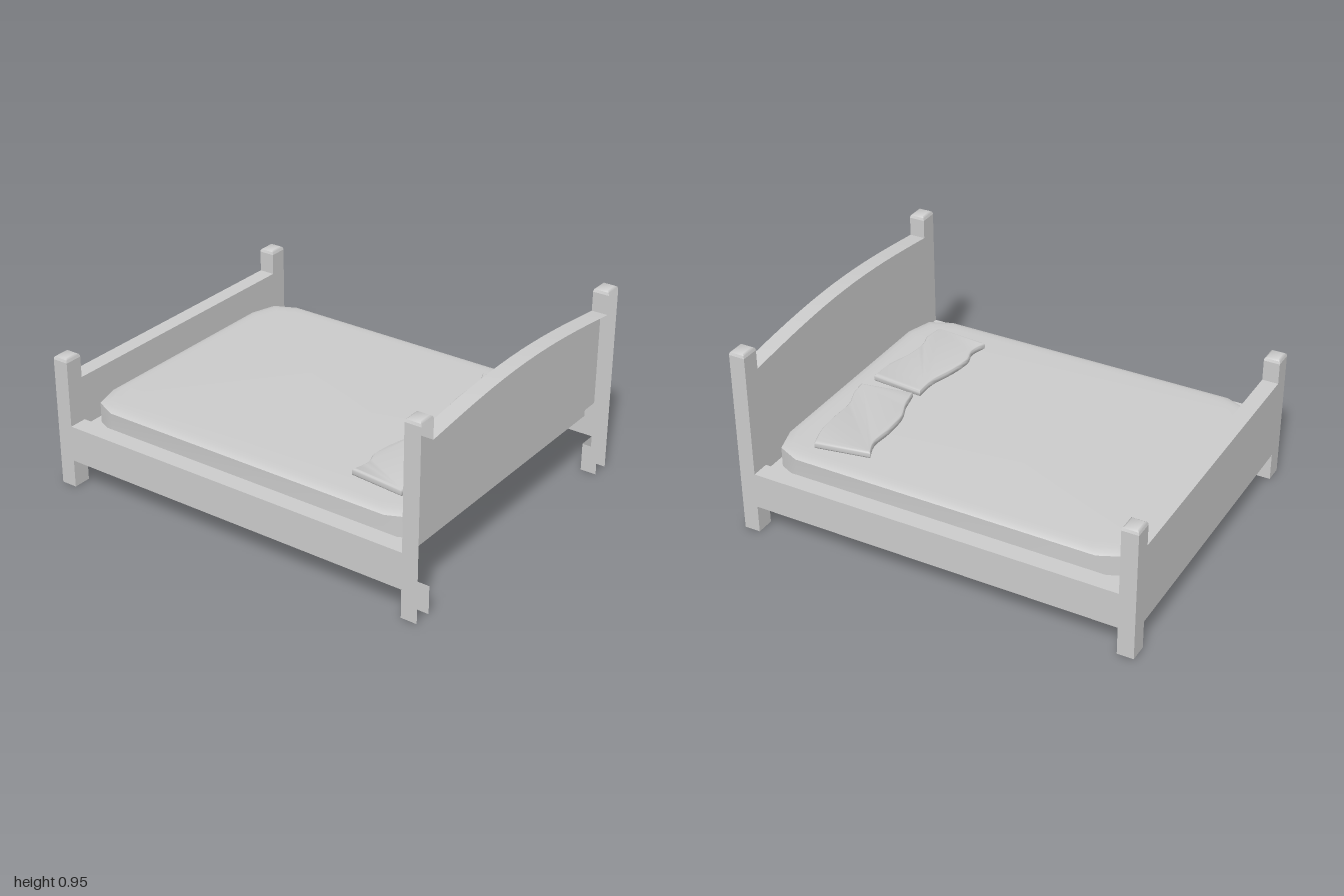
import * as THREE from 'three';
import { toCreasedNormals } from 'three/addons/utils/BufferGeometryUtils.js';

const shell = new THREE.MeshStandardMaterial({ color: 0xcccccc, side: THREE.DoubleSide });
const solid = new THREE.MeshStandardMaterial({ color: 0xcccccc });

const X0 = 0.92, X1 = 1, Z0 = 0.72, Z1 = 0.81;   // inner and outer faces of the posts
const LEG = 0.14, BASE = 0.29, RAIL = 0.32;      // leg height, bed base, rail top
const FOOT = { x: -1, rim: 0.645, height: () => 0.54 };
const HEAD = { x: 1, rim: 0.93, height: z => 0.835 + 0.055 * Math.cos(Math.PI * z / (2 * Z0)) };

const rect = (a0, b0, a1, b1) => [[a0, b0], [a1, b0], [a1, b1], [a0, b1]];
const toShape = pts => new THREE.Shape(pts.map(p => new THREE.Vector2(p[0], p[1])));

// Flat sheet: outline in (x,y), (z,y) or (x,z), set at a distance along the named axis
function sheet(parent, name, axis, at, pts) {
  const geo = new THREE.ShapeGeometry(toShape(pts));
  if (axis === 'x') geo.rotateY(-Math.PI / 2);
  if (axis === 'y') geo.rotateX(Math.PI / 2);
  const mesh = new THREE.Mesh(geo, shell);
  mesh.position[axis] = at;
  mesh.name = name;
  parent.add(mesh);
}

// Points along the top edge of an end board, from -z to +z
function boardEdge(end) {
  const pts = [];
  for (let i = 0; i <= 16; i++) {
    const z = -Z0 + 2 * Z0 * i / 16;
    pts.push([z, end.height(z)]);
  }
  return pts;
}

// Softly rounded post cap
function cap(end, side) {
  const w = X1 - X0, d = Z1 - Z0, h = 0.02;
  const geo = new THREE.BoxGeometry(w, h, d, 1, 3, 1);
  const p = geo.attributes.position;
  for (let i = 0; i < p.count; i++) {
    const t = p.getY(i) / h + 0.5;
    const inset = 0.013 * (1 - Math.sqrt(Math.max(0, 1 - t * t)));
    p.setX(i, p.getX(i) - Math.sign(p.getX(i)) * inset);
    p.setZ(i, p.getZ(i) - Math.sign(p.getZ(i)) * inset);
  }
  const mesh = new THREE.Mesh(toCreasedNormals(geo, 0.9), solid);
  mesh.position.set(end.x * (X0 + X1) / 2, end.rim + h / 2, side * (Z0 + Z1) / 2);
  mesh.name = 'postCap';
  return mesh;
}

// Head or foot end: board, posts and legs as a hollow shell
function bedEnd(end, name) {
  const g = new THREE.Group();
  g.name = name;
  const inner = end.x * X0, edge = boardEdge(end);
  sheet(g, 'boardInnerFace', 'x', inner, [[-Z0, BASE], [Z0, BASE], ...edge.slice().reverse()]);
  // Top of the board follows its edge
  const top = new THREE.PlaneGeometry(X1 - X0, 2 * Z0, 1, 16).rotateX(-Math.PI / 2);
  const p = top.attributes.position;
  for (let i = 0; i < p.count; i++) p.setY(i, end.height(p.getZ(i)));
  top.computeVertexNormals();
  const strip = new THREE.Mesh(top, shell);
  strip.position.x = end.x * (X0 + X1) / 2;
  strip.name = 'boardTop';
  g.add(strip);
  for (const s of [-1, 1]) {
    const h = end.height(Z0);
    sheet(g, 'postInnerFace', 'x', inner, rect(s * Z0, RAIL, s * Z1, end.rim));
    sheet(g, 'legInnerFace', 'x', inner, rect(s * Z0, 0, s * Z1, LEG));
    sheet(g, 'postSide', 'z', s * Z0, rect(inner, h, end.x, end.rim));
    sheet(g, 'legSide', 'z', s * Z0, rect(inner, 0, end.x, LEG));
    g.add(cap(end, s));
  }
  return g;
}

// Closed spline-sided pillow: left and right edges run from -z to +z
function pillow(left, right) {
  const smooth = pts => new THREE.SplineCurve(pts.map(p => new THREE.Vector2(p[0], -p[1]))).getPoints(20);
  const shape = new THREE.Shape([...smooth(left), ...smooth(right).reverse()]);
  const geo = new THREE.ExtrudeGeometry(shape, {
    depth: 0.015, bevelSize: 0.01, bevelOffset: -0.01, bevelThickness: 0.01, bevelSegments: 3
  }).rotateX(-Math.PI / 2);
  const mesh = new THREE.Mesh(toCreasedNormals(geo, 0.9), solid);
  mesh.position.y = 0.418;
  mesh.name = 'pillow';
  return mesh;
}

// Mattress: rings of a cut-corner outline, drawn in towards the top
function mattress() {
  const quarter = [[0.91, 0.53], [0.87, 0.66], [0.76, 0.71]];
  const flip = (sx, sz) => quarter.map(([x, z]) => [x * sx, z * sz]);
  const outline = [...flip(1, 1), ...flip(-1, 1).reverse(), ...flip(-1, -1), ...flip(1, -1).reverse()];
  const rings = [[0, 0.295], [0, 0.395], [0.012, 0.402], [0.035, 0.407], [0.07, 0.409]];
  const n = outline.length, pos = [], idx = [];
  for (const [inset, y] of rings)
    for (const [x, z] of outline) pos.push(x * (1 - inset / 0.91), y, z * (1 - inset / 0.71));
  for (let r = 0; r < rings.length - 1; r++)
    for (let i = 0; i < n; i++) {
      const a = r * n + i, b = r * n + (i + 1) % n;
      idx.push(a, a + n, b, b, a + n, b + n);
    }
  // Top and bottom
  const last = (rings.length - 1) * n;
  for (let i = 1; i < n - 1; i++) {
    idx.push(last, last + i + 1, last + i);
    idx.push(0, i, i + 1);
  }
  const geo = new THREE.BufferGeometry();
  geo.setAttribute('position', new THREE.Float32BufferAttribute(pos, 3));
  geo.setIndex(idx);
  const mesh = new THREE.Mesh(toCreasedNormals(geo, 0.8), solid);
  mesh.name = 'mattress';
  return mesh;
}

export function createModel() {
  const bed = new THREE.Group();
  bed.name = 'bed';

  // End boards; the foot end has an outer face, the head end is open behind
  const foot = bedEnd(FOOT, 'footboard');
  sheet(foot, 'outerFace', 'x', -X1, [
    [-Z1, 0], [-Z0, 0], [-Z0, LEG], [Z0, LEG], [Z0, 0], [Z1, 0],
    [Z1, FOOT.rim], [Z0, FOOT.rim], [Z0, 0.54], [-Z0, 0.54], [-Z0, FOOT.rim], [-Z1, FOOT.rim]
  ]);
  bed.add(foot, bedEnd(HEAD, 'headboard'));

  // Side rails, with the outer faces of posts and legs in one sheet
  for (const s of [-1, 1]) {
    const rail = new THREE.Group();
    rail.name = 'sideRail';
    sheet(rail, 'outerFace', 'z', s * Z1, [
      [-X1, 0], [-X0, 0], [-X0, LEG], [X0, LEG], [X0, 0], [X1, 0],
      [X1, HEAD.rim], [X0, HEAD.rim], [X0, RAIL], [-X0, RAIL], [-X0, FOOT.rim], [-X1, FOOT.rim]
    ]);
    sheet(rail, 'railTop', 'y', RAIL, rect(-X0, s * Z0, X0, s * Z1));
    sheet(rail, 'railInnerFace', 'z', s * Z0, rect(-X0, BASE, X0, RAIL));
    bed.add(rail);
  }

  // Bed base, mattress and pillows
  sheet(bed, 'bedBase', 'y', BASE, rect(-X0, -Z0, X0, Z0));
  bed.add(mattress());
  bed.add(pillow(
    [[0.45, -0.56], [0.485, -0.47], [0.48, -0.35], [0.49, -0.22], [0.525, -0.13], [0.55, -0.025]],
    [[0.72, -0.61], [0.755, -0.5], [0.765, -0.36], [0.765, -0.25], [0.8, -0.15], [0.81, -0.07]]
  ));
  bed.add(pillow(
    [[0.525, 0], [0.525, 0.12], [0.49, 0.25], [0.475, 0.37], [0.495, 0.45], [0.475, 0.54]],
    [[0.795, 0.02], [0.79, 0.15], [0.755, 0.27], [0.745, 0.39], [0.765, 0.47], [0.75, 0.565]]
  ));
  return bed;
}
